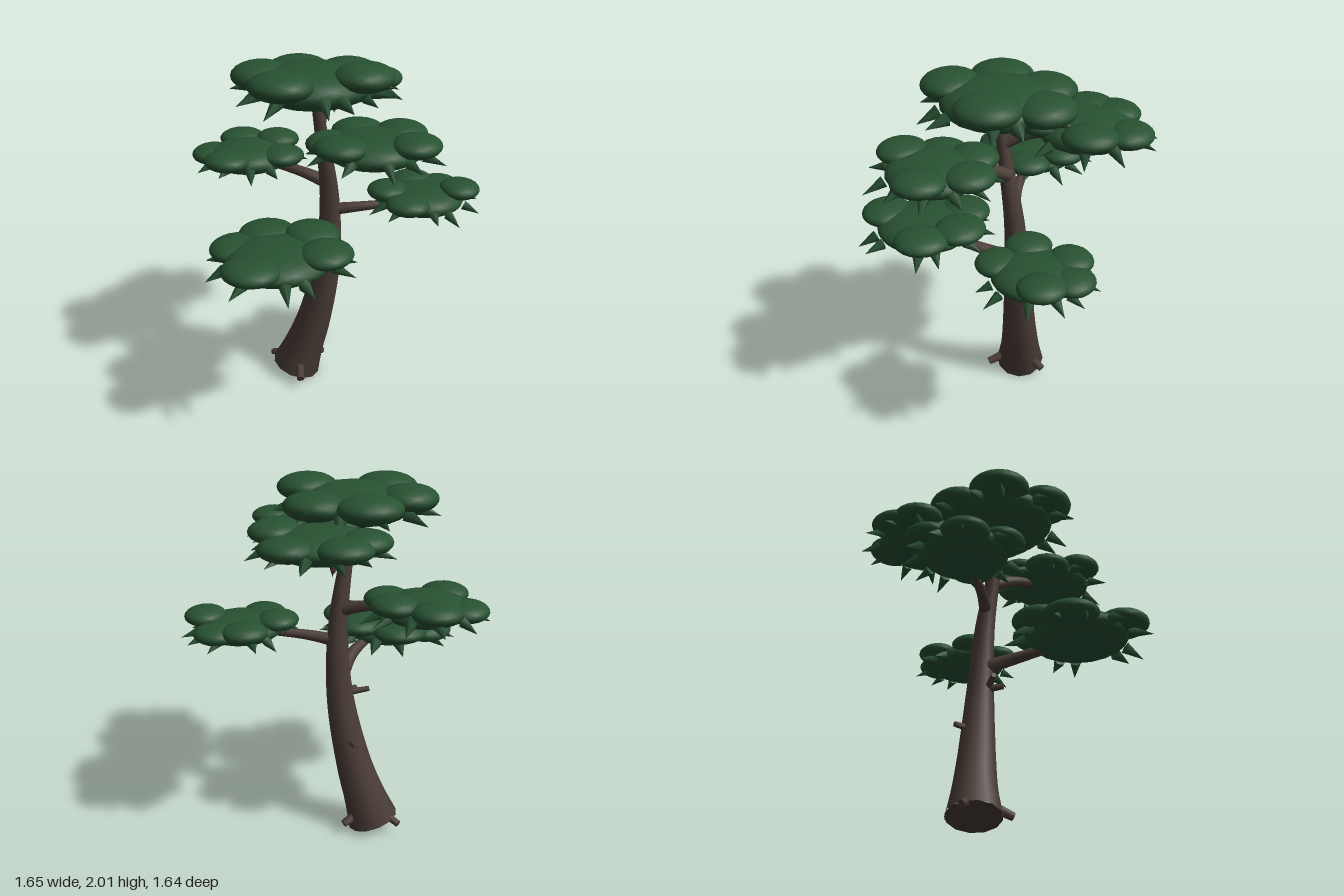
import * as THREE from 'three';

const V = (x, y, z) => new THREE.Vector3(x, y, z);

// Small seeded generator for spike variation
function seeded(seed) {
  let s = seed;
  return () => (s = (s * 16807) % 2147483647) / 2147483647;
}

// Tube along [x, y, z, radius] points, radius interpolated along its length
function taperedTube(points, segments, sides) {
  const curve = new THREE.CatmullRomCurve3(points.map(p => V(p[0], p[1], p[2])));
  const radii = new THREE.CatmullRomCurve3(points.map((p, i) => V(p[3], i, 0)));
  const geo = new THREE.TubeGeometry(curve, segments, 1, sides);
  const pos = geo.attributes.position, nor = geo.attributes.normal;
  for (let i = 0; i < pos.count; i++) {
    const u = Math.floor(i / (sides + 1)) / segments;
    const c = curve.getPointAt(u);
    const r = radii.getPoint(curve.getUtoTmapping(u)).x;
    pos.setXYZ(i, c.x + nor.getX(i) * r, c.y + nor.getY(i) * r, c.z + nor.getZ(i) * r);
  }
  return { geo, curve };
}

// Cylinder or cone running from a to b
function rod(a, b, r0, r1, sides, mat, name) {
  const dir = b.clone().sub(a);
  const m = new THREE.Mesh(new THREE.CylinderGeometry(r1, r0, dir.length(), sides), mat);
  m.position.copy(a).add(b).multiplyScalar(0.5);
  m.quaternion.setFromUnitVectors(V(0, 1, 0), dir.normalize());
  m.name = name;
  return m;
}

export function createModel() {
  const tree = new THREE.Group();
  tree.name = 'tree';
  const bark = new THREE.MeshStandardMaterial({ color: 0x4b3d37 });
  bark.name = 'bark brown';
  const leaf = new THREE.MeshStandardMaterial({ color: 0x285132 });
  leaf.name = 'needle green';

  // Leaning, curved trunk with a closed base
  const trunk = taperedTube([
    [-0.23, 0.042, -0.125, 0.146], [-0.175, 0.2, -0.125, 0.118], [-0.11, 0.4, -0.12, 0.1],
    [-0.027, 0.8, -0.108, 0.076], [-0.01, 1.2, -0.085, 0.056],
    [-0.045, 1.6, -0.025, 0.036], [-0.075, 1.86, 0.005, 0.026],
  ], 28, 12);
  const trunkMesh = new THREE.Mesh(trunk.geo, bark);
  trunkMesh.name = 'trunk';
  tree.add(trunkMesh);
  const base = new THREE.Mesh(new THREE.CircleGeometry(0.146, 12), bark);
  base.position.copy(trunk.curve.getPointAt(0));
  base.quaternion.setFromUnitVectors(V(0, 0, 1), trunk.curve.getTangentAt(0).negate());
  base.name = 'trunkBase';
  tree.add(base);

  // Branches, each reaching under its foliage pad
  const branches = [
    [[-0.035, 0.93, -0.09, 0.042], [-0.045, 0.98, 0.08, 0.034], [-0.12, 1.03, 0.34, 0.022]],
    [[-0.01, 1.12, -0.1, 0.036], [0.16, 1.145, -0.12, 0.028], [0.42, 1.17, -0.19, 0.018]],
    [[-0.02, 1.29, -0.08, 0.038], [-0.17, 1.335, -0.1, 0.03], [-0.4, 1.36, -0.16, 0.019]],
    [[-0.01, 1.475, -0.05, 0.04], [0.08, 1.55, 0.08, 0.032], [0.24, 1.62, 0.25, 0.02]],
    [[-0.05, 1.63, -0.01, 0.034], [-0.055, 1.685, -0.13, 0.029], [-0.03, 1.73, -0.38, 0.018]],
  ];
  for (const pts of branches) {
    const m = new THREE.Mesh(taperedTube(pts, 10, 9).geo, bark);
    m.name = 'branch';
    tree.add(m);
  }

  // Broken twigs and root stubs
  const stubs = [
    [[-0.05, 0.8, -0.07], [-0.175, 0.825, -0.03], 0.02],
    [[-0.06, 0.79, -0.08], [-0.08, 0.8, 0.02], 0.022],
    [[-0.09, 0.55, -0.15], [-0.155, 0.555, -0.235], 0.02],
    [[-0.19, 0.11, -0.05], [-0.155, 0.06, 0.07], 0.03],
    [[-0.28, 0.11, -0.14], [-0.395, 0.065, -0.18], 0.026],
    [[-0.17, 0.11, -0.18], [-0.095, 0.065, -0.265], 0.03],
  ];
  for (const [a, b, r] of stubs) tree.add(rod(V(...a), V(...b), r, r * 0.75, 7, bark, 'stub'));

  // Foliage pads: centre, distance of the bumps, bump half-height,
  // then [angle from +x to +z, height above the centre] of each bump
  const pads = [
    [-0.17, 1.05, 0.43, 0.25, 0.06,
      [[109, 0.038], [193, 0.012], [241, 0.04], [302, 0.06], [358, 0.05]]],
    [0.5, 1.19, -0.21, 0.2, 0.053,
      [[108, 0.025], [169, 0.045], [243, 0.035], [291, 0.015], [350, 0.058]]],
    [-0.5, 1.38, -0.18, 0.21, 0.055,
      [[108, 0.028], [177, 0], [243, 0.04], [307, 0.055], [369, 0.025]]],
    [0.29, 1.64, 0.3, 0.22, 0.057,
      [[127, 0.048], [185, 0.005], [239, 0.03], [301, 0.035], [373, 0.045]]],
    [-0.03, 1.745, -0.45, 0.23, 0.06,
      [[87, 0.04], [184, 0.03], [222, 0.02], [297, 0.018], [358, 0.052]]],
    [-0.08, 1.86, 0, 0.28, 0.075,
      [[112, 0.05], [180, 0.038], [240, 0.02], [301, 0.02], [369, 0.065]]],
  ];
  const ball = new THREE.IcosahedronGeometry(1, 3);
  const rand = seeded(4711);
  for (const [x, y, z, reach, h, bumps] of pads) {
    const pad = new THREE.Group();
    pad.name = 'foliagePad';
    pad.position.set(x, y, z);
    const rim = reach * 1.12;

    const core = new THREE.Mesh(ball, leaf);
    core.scale.set(rim, h * 1.5, rim);
    core.name = 'padCore';
    pad.add(core);

    // Bumps sit on the rim, a little wider around it than across it
    for (const [deg, rise] of bumps) {
      const a = THREE.MathUtils.degToRad(deg);
      const bump = new THREE.Mesh(ball, leaf);
      bump.position.set(Math.cos(a) * reach, rise, Math.sin(a) * reach);
      bump.scale.set(reach * 0.57, h, reach * 0.62);
      bump.rotation.y = -a;
      bump.name = 'padBump';
      pad.add(bump);
    }

    // Needle spikes around the rim, pointing outward and slightly down
    const count = 11;
    for (let i = 0; i < count; i++) {
      const a = (i + 0.6 * rand()) / count * Math.PI * 2;
      const dx = Math.cos(a), dz = Math.sin(a), len = reach * (0.4 + 0.12 * rand());
      const from = V(dx * rim * 1.03, -0.005 - 0.015 * rand(), dz * rim * 1.03);
      const to = from.clone().add(V(dx * len, -len * (0.2 + 0.3 * rand()), dz * len));
      pad.add(rod(from, to, reach * 0.14, 0, 5, leaf, 'needleSpike'));
    }
    tree.add(pad);
  }
  return tree;
}
